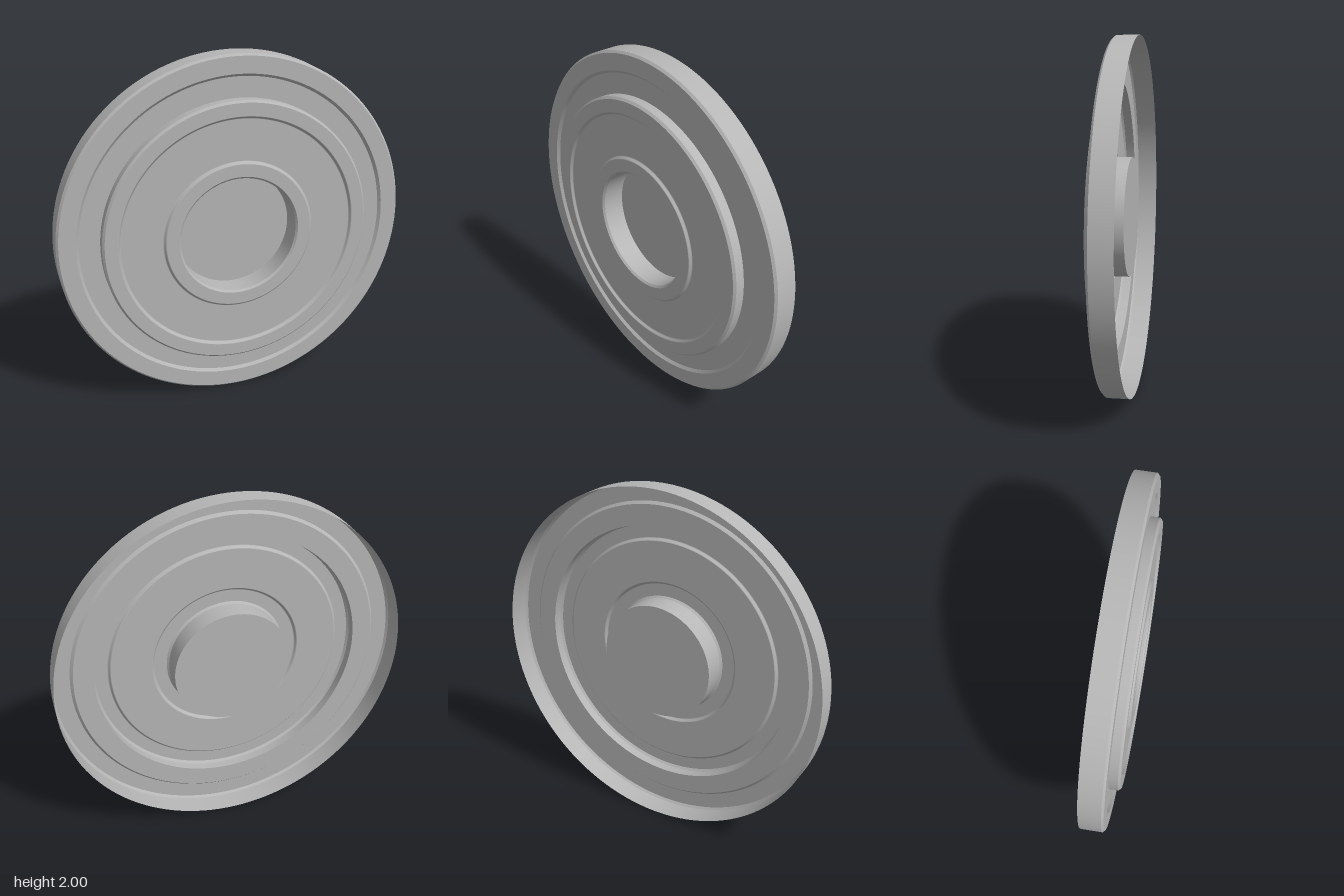
import * as THREE from 'three';
import { mergeGeometries } from 'three/addons/utils/BufferGeometryUtils.js';

const SEGMENTS = 128;

// Revolve a profile of [radius, z] points around the z axis
function revolve(points) {
  const geo = new THREE.LatheGeometry(points.map(([r, z]) => new THREE.Vector2(r, z)), SEGMENTS);
  return geo.rotateX(Math.PI / 2);
}

// Sharp profile: every straight run keeps its own normals
function sharp(points) {
  return mergeGeometries(points.slice(1).map((p, i) => revolve([points[i], p])));
}

// Soft step between two levels, smooth across its width
function softStep(r0, z0, r1, z1) {
  const points = [];
  for (let i = 0; i <= 8; i++) {
    const t = i / 8;
    const s = t * t * (3 - 2 * t);
    points.push([r0 + (r1 - r0) * t, z0 + (z1 - z0) * s]);
  }
  return revolve(points);
}

export function createModel() {
  const group = new THREE.Group();
  const metal = new THREE.MeshStandardMaterial({ color: 0xb6b6b6, side: THREE.DoubleSide });
  metal.name = 'plainGrey';

  const rim = 0.042, groove = 0.027, raised = 0.09, panel = 0.075, cup = -0.045;

  const parts = {
    // Outer skirt, open at the back, with a chamfered front edge
    outerSkirt: sharp([[1, -0.09], [1, rim - 0.012], [0.988, rim]]),
    rimFace: sharp([[0.988, rim], [0.895, rim]]),
    // Shallow step down to the groove floor
    grooveFloor: sharp([[0.895, rim], [0.88, groove], [0.766, groove]]),
    // Raised ring wall and face
    raisedRing: sharp([[0.766, groove], [0.766, raised - 0.012], [0.754, raised], [0.682, raised]]),
    // Slightly sunken panel with soft edges
    panelOuterEdge: softStep(0.682, raised, 0.666, panel),
    sunkenPanel: sharp([[0.666, panel], [0.434, panel]]),
    panelInnerEdge: softStep(0.434, panel, 0.418, raised),
    // Ring around the central cup
    hubRing: sharp([[0.418, raised], [0.347, raised], [0.336, raised - 0.011]]),
    cupWall: sharp([[0.336, raised - 0.011], [0.336, cup]]),
    cupFloor: new THREE.CircleGeometry(0.336, SEGMENTS).translate(0, 0, cup),
  };

  for (const [name, geometry] of Object.entries(parts)) {
    const mesh = new THREE.Mesh(geometry, metal);
    mesh.name = name;
    mesh.position.y = 1;
    group.add(mesh);
  }
  return group;
}
